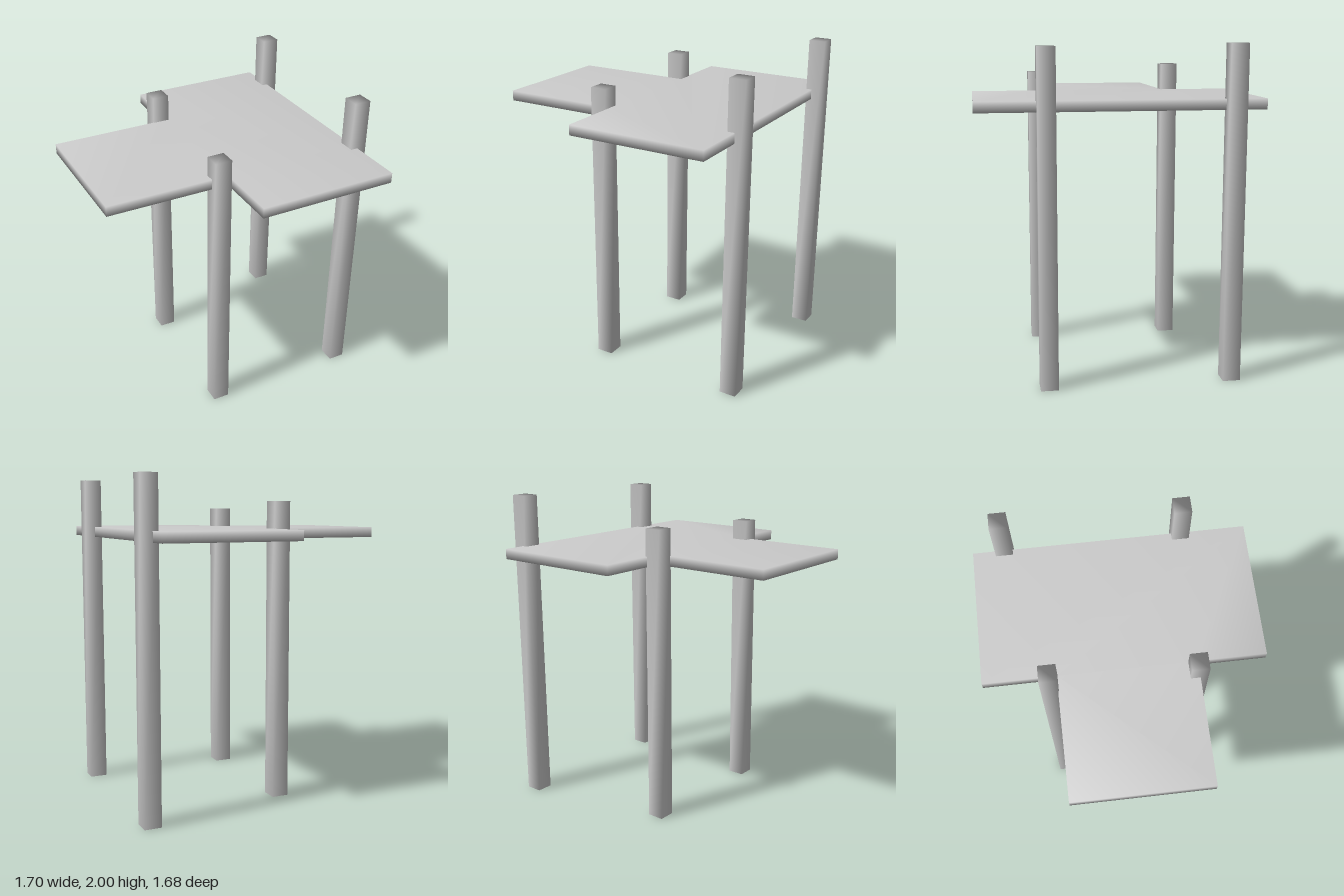
import * as THREE from 'three';
import { mergeVertices } from 'three/addons/utils/BufferGeometryUtils.js';

const material = new THREE.MeshStandardMaterial({ color: 0xcccccc });

// Weld corners so normals blend softly across the edges
function smoothMesh(geometry, name) {
  geometry.deleteAttribute('normal');
  geometry.deleteAttribute('uv');
  const welded = mergeVertices(geometry, 1e-4);
  welded.computeVertexNormals();
  const mesh = new THREE.Mesh(welded, material);
  mesh.name = name;
  return mesh;
}

export function createModel() {
  const model = new THREE.Group();
  model.name = 'raisedPlatform';

  // T-shaped deck: outline in x and z, extruded upwards
  const bottom = 1.62, thickness = 0.063;
  const outline = [
    [-0.85, 0.43], [-0.09, 0.43], [-0.09, 0.84], [0.775, 0.84],
    [0.775, -0.845], [-0.09, -0.845], [-0.09, -0.405], [-0.85, -0.405],
  ];
  const shape = new THREE.Shape(outline.map(([x, z]) => new THREE.Vector2(x, -z)));
  const deck = new THREE.ExtrudeGeometry(shape, { depth: thickness, bevelEnabled: false });
  deck.rotateX(-Math.PI / 2).translate(0, bottom, 0);
  model.add(smoothMesh(deck, 'deck'));

  // Square posts of differing heights
  const width = 0.105;
  const posts = [
    ['backLeftPost', 0.793, -0.653, 2],
    ['frontLeftPost', 0.783, 0.438, 1.985],
    ['backRightPost', -0.134, -0.453, 1.85],
    ['frontRightPost', -0.143, 0.424, 1.805],
  ];
  for (const [name, x, z, height] of posts) {
    const post = smoothMesh(new THREE.BoxGeometry(width, height, width), name);
    post.position.set(x, height / 2, z);
    model.add(post);
  }
  return model;
}
